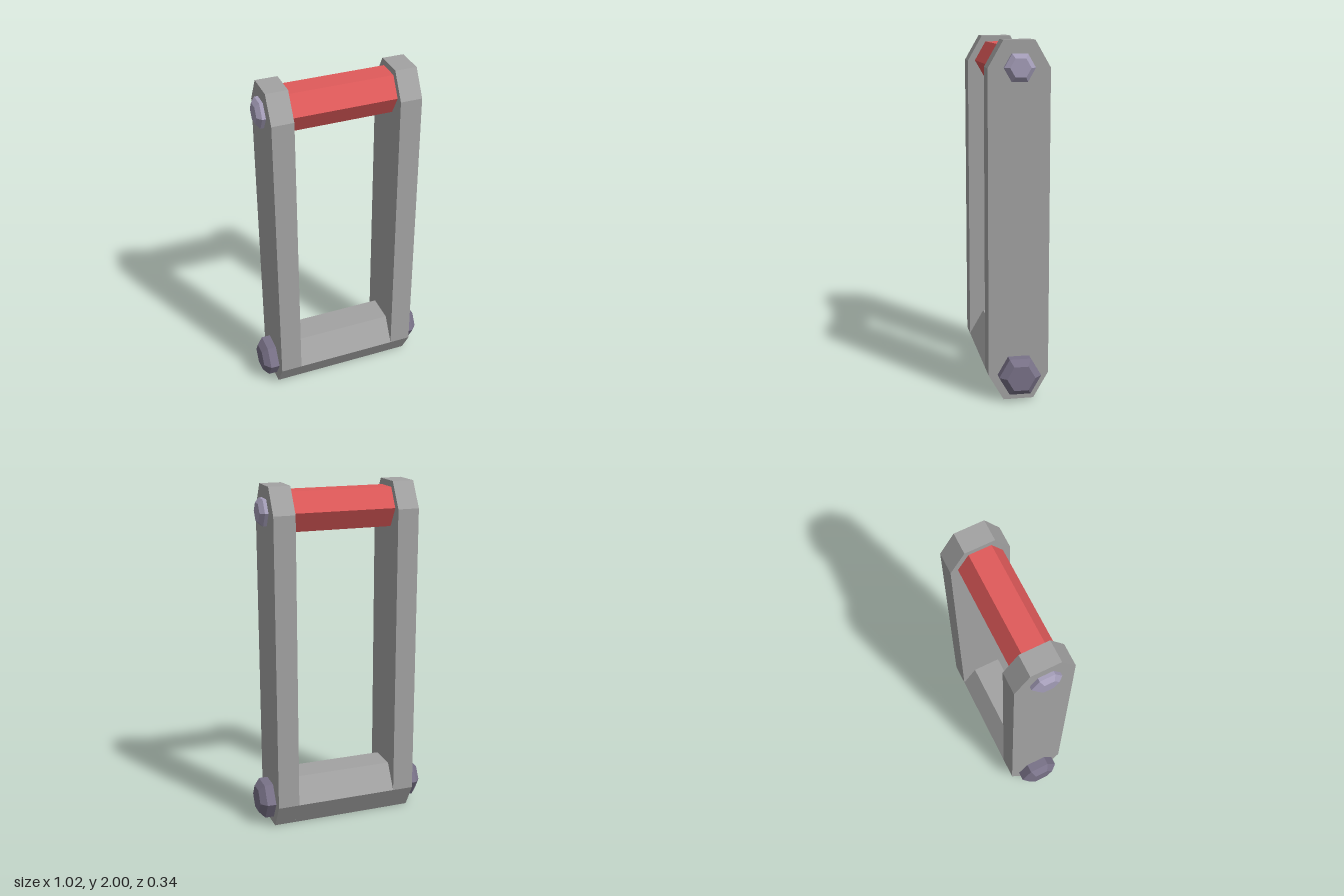
import * as THREE from 'three';

const HALF_GAP = 0.3, OUTER = 0.425;   // inner and outer faces of the side plates
const LOW_Y = 0.147, HIGH_Y = 1.855;   // heights of the two cross bars

// Flat facets for the low-poly look
function facet(geometry) {
  const flat = geometry.index ? geometry.toNonIndexed() : geometry;
  flat.computeVertexNormals();
  return flat;
}

// Hexagonal prism lying along x, with corners pointing to the front and back
function crossBar(name, radius, y, material) {
  const geo = new THREE.CylinderGeometry(radius, radius, HALF_GAP * 2, 6, 1, true);
  geo.rotateZ(-Math.PI / 2);
  const mesh = new THREE.Mesh(facet(geo), material);
  mesh.name = name;
  mesh.position.y = y;
  return mesh;
}

// Hexagonal bolt head with a chamfered outer face, pointing to +x or -x
function boltHead(name, side, y, radius, faceRadius, depth, fullDepth, material) {
  const profile = [[radius, 0], [radius, depth], [faceRadius, fullDepth], [0, fullDepth]];
  const geo = new THREE.LatheGeometry(profile.map(p => new THREE.Vector2(...p)), 6);
  geo.rotateZ(-Math.PI / 2);
  if (side < 0) geo.rotateY(Math.PI);
  const mesh = new THREE.Mesh(facet(geo), material);
  mesh.name = name;
  mesh.position.set(side * OUTER, y, 0);
  return mesh;
}

// Long plate with clipped corners at both ends
function sidePlate(name, side, material) {
  const w = 0.17, tip = 0.085;
  const outline = [[-tip, 0], [tip, 0], [w, LOW_Y], [w, 2 - LOW_Y], [tip, 2], [-tip, 2], [-w, 2 - LOW_Y], [-w, LOW_Y]];
  const shape = new THREE.Shape(outline.map(p => new THREE.Vector2(...p)));
  const geo = new THREE.ExtrudeGeometry(shape, { depth: OUTER - HALF_GAP, bevelEnabled: false });
  geo.rotateY(Math.PI / 2);
  const mesh = new THREE.Mesh(facet(geo), material);
  mesh.name = name;
  mesh.position.x = side > 0 ? HALF_GAP : -OUTER;
  return mesh;
}

export function createModel() {
  const paint = (name, color) => {
    const material = new THREE.MeshStandardMaterial({ color });
    material.name = name;
    return material;
  };
  const grey = paint('grey metal', 0xa3a3a3);
  const red = paint('red grip', 0xe05a5a);
  const darkBolt = paint('dark violet steel', 0x797288);
  const lightBolt = paint('light violet steel', 0xa59eb9);

  const model = new THREE.Group();
  model.name = 'handleFrame';

  // Base bar and grip
  model.add(crossBar('baseBar', 0.17, LOW_Y, grey));
  model.add(crossBar('grip', 0.128, HIGH_Y, red));

  // Mirrored plates and bolts
  for (const side of [1, -1]) {
    const prefix = side > 0 ? 'left' : 'right';
    model.add(sidePlate(prefix + 'Plate', side, grey));
    model.add(boltHead(prefix + 'LowerBolt', side, 0.15, 0.119, 0.08, 0.052, 0.086, darkBolt));
    model.add(boltHead(prefix + 'UpperBolt', side, HIGH_Y, 0.085, 0.057, 0.02, 0.043, lightBolt));
  }
  return model;
}
